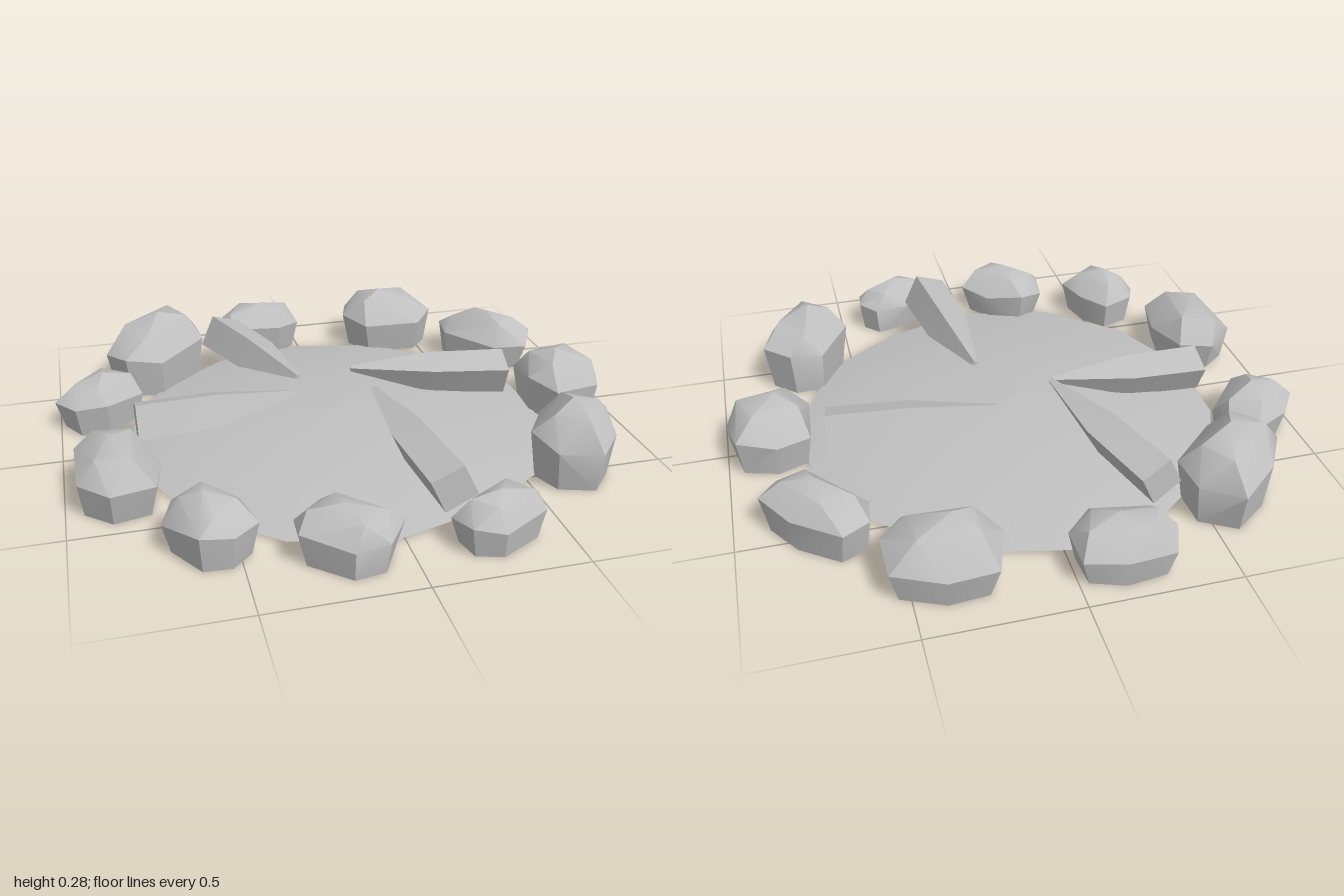
import * as THREE from 'three';
import { toCreasedNormals } from 'three/addons/utils/BufferGeometryUtils.js';
import { ConvexGeometry } from 'three/addons/geometries/ConvexGeometry.js';

const grey = new THREE.MeshStandardMaterial({ color: 0xbfbfbf, side: THREE.DoubleSide });
grey.name = 'stone grey';

// Repeatable variation between -1 and 1
const vary = seed => {
  const s = Math.sin(seed * 12.9898) * 43758.5453;
  return (s - Math.floor(s)) * 2 - 1;
};

// Joins rings of equal point count into a skin, with optional end caps
function loft(rings, capEnds) {
  const n = rings[0].length, index = [];
  for (let r = 0; r < rings.length - 1; r++) {
    for (let i = 0; i < n; i++) {
      const a = r * n + i, b = r * n + (i + 1) % n;
      index.push(a, b, a + n, b, b + n, a + n);
    }
  }
  if (capEnds) {
    const last = (rings.length - 1) * n;
    for (let i = 1; i < n - 1; i++) index.push(0, i + 1, i, last, last + i, last + i + 1);
  }
  const geo = new THREE.BufferGeometry();
  geo.setAttribute('position', new THREE.Float32BufferAttribute(rings.flat(2), 3));
  geo.setIndex(index);
  geo.computeVertexNormals();
  return geo;
}

// Shallow domed bed with an uneven rim
function ashBed() {
  const sides = 14;
  const rings = [[1, 0.012], [0.75, 0.05], [0.4, 0.08], [0.001, 0.09]].map(([s, y]) =>
    Array.from({ length: sides }, (_, i) => {
      const a = (i + 0.5) / sides * Math.PI * 2;
      const r = s * (0.755 + 0.015 * vary(i + 1));
      return [Math.cos(a) * r - 0.02, y, -Math.sin(a) * r - 0.01];
    }));
  return new THREE.Mesh(loft(rings, false), grey);
}

// Log: rolled square section tapering from the outer end to the raised tip
function log([x0, z0], [x1, z1], lift) {
  const len = Math.hypot(x1 - x0, z1 - z0);
  const dx = (x1 - x0) / len, dz = (z1 - z0) / len;
  const section = [[-0.085, 0.035], [0.025, 0.075], [0.08, -0.035], [-0.03, -0.08]];
  const stations = [[0, 1, 0.125], [0.48, 0.93, 0.135], [1, 0.13, 0.165]];
  const rings = stations.map(([t, s, y]) => section.map(([u, v]) => [
    x0 + dx * len * t - dz * u * s, y + lift + v * s, z0 + dz * len * t + dx * u * s,
  ]));
  return new THREE.Mesh(toCreasedNormals(loft(rings, true).toNonIndexed(), 0.4), grey);
}

// Rock: hull of a narrowed foot, a full-width belt and a few crown points
const outline = [[-1, 0.1], [-0.8, -0.75], [0.1, -1], [0.88, -0.72], [1, 0.3], [0.5, 0.97], [-0.65, 0.85]];
const crown = [[-0.6, 0.83, 0.35], [-0.35, 0.88, -0.5], [0.1, 1, 0.1], [0.65, 0.88, -0.3], [0.5, 0.86, 0.5]];

function stone([x, z, halfLength, halfWidth, angle, height], seed) {
  const flip = seed % 2 ? 1 : -1;
  const points = [];
  const put = (u, y, v) => points.push(
    new THREE.Vector3(u * halfLength * flip, y, v * halfWidth));
  outline.forEach(([u, v], i) => {
    const s = 1 + 0.05 * vary(seed * 17 + i);
    put(u * s, height * (0.55 + 0.08 * vary(seed * 31 + i)), v * s);
    put(u * 0.86, 0.005, v * 0.86);
  });
  crown.forEach(([u, y, v], i) => put(u + 0.1 * vary(seed * 7 + i), y * height, v));
  const geo = new ConvexGeometry(points);
  geo.rotateY(-angle);
  geo.translate(x, 0, z);
  return new THREE.Mesh(toCreasedNormals(geo, 0.65), grey);
}

export function createModel() {
  const group = new THREE.Group();
  group.name = 'firePit';
  const add = (mesh, name) => { mesh.name = name; group.add(mesh); };

  add(ashBed(), 'ashBed');

  // Four logs leaning in toward the middle: outer end, tip, lift
  const logs = [
    [[-0.74, -0.02], [-0.17, -0.03], -0.01],
    [[0.16, 0.74], [0.09, 0.085], 0.03],
    [[-0.35, -0.67], [-0.15, -0.085], 0.025],
    [[0.655, -0.09], [0.07, -0.16], 0],
  ];
  logs.forEach((l, i) => add(log(...l), 'log' + (i + 1)));

  // Ring of stones from the back: x, z, half length, half width, angle, height
  const stones = [
    [-0.165, -0.84, 0.17, 0.125, 0.08, 0.2],
    [0.39, -0.76, 0.19, 0.15, 0.2, 0.245],
    [0.725, -0.48, 0.2, 0.115, 0.78, 0.22],
    [0.845, 0, 0.15, 0.165, 0, 0.24],
    [0.675, 0.48, 0.175, 0.14, 2.03, 0.29],
    [0.285, 0.81, 0.155, 0.1, -0.42, 0.19],
    [-0.195, 0.79, 0.16, 0.125, 0.65, 0.2],
    [-0.58, 0.65, 0.15, 0.12, 1.1, 0.21],
    [-0.83, 0.28, 0.19, 0.14, 1.5, 0.23],
    [-0.84, -0.29, 0.165, 0.12, -0.7, 0.2],
    [-0.61, -0.61, 0.22, 0.15, -0.87, 0.29],
  ];
  stones.forEach((s, i) => add(stone(s, i + 1), 'stone' + (i + 1)));

  return group;
}
